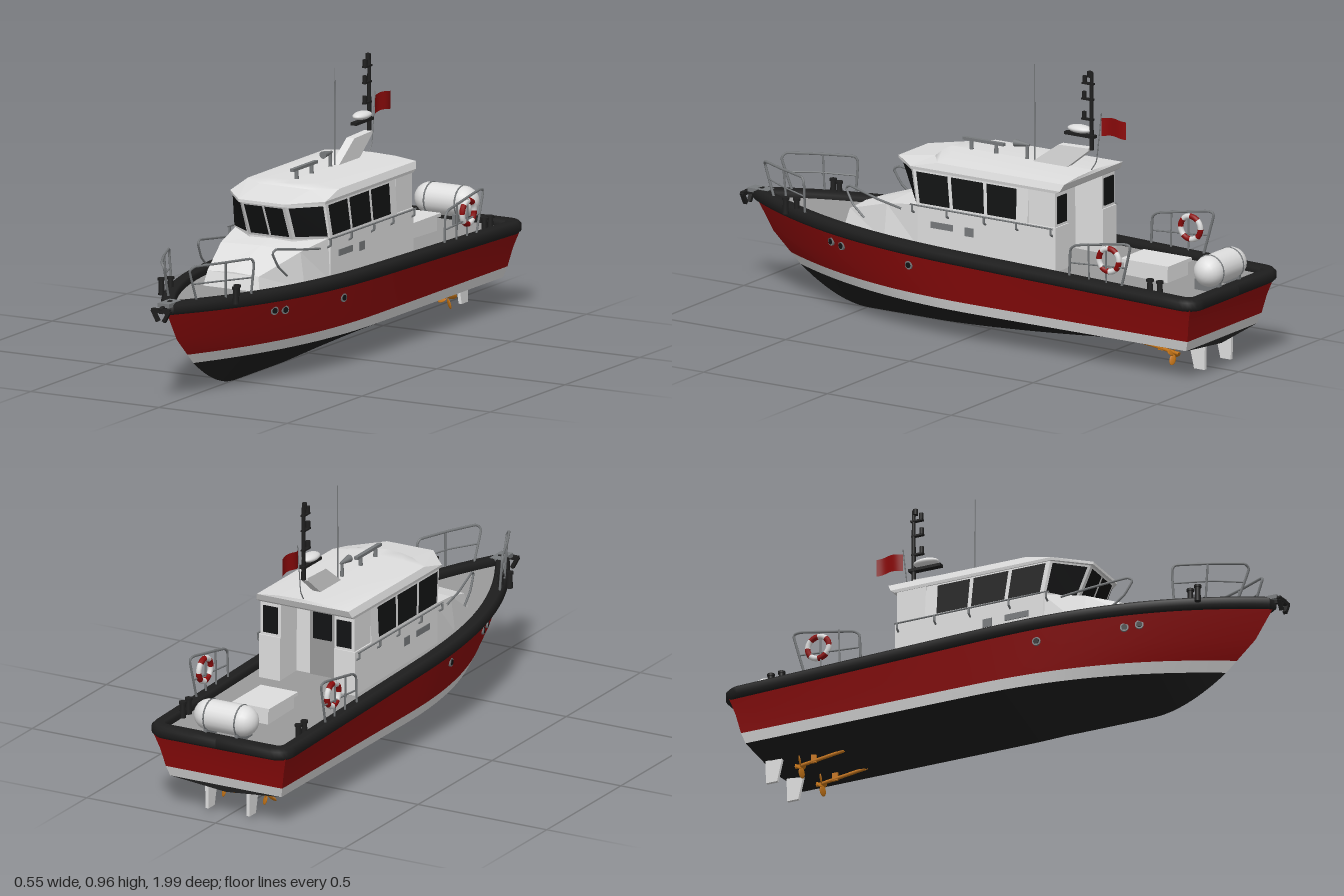
import * as THREE from 'three';

const mat = (name, color, side = THREE.FrontSide) => {
  const m = new THREE.MeshStandardMaterial({ color, side });
  m.name = name;
  return m;
};

export function createModel() {
  const red = mat('red paint', 0x8c0a0a, THREE.DoubleSide);
  const white = mat('white paint', 0xdedede, THREE.DoubleSide);
  const black = mat('black rubber', 0x1e1e1e, THREE.DoubleSide);
  const grey = mat('deck grey', 0x999999, THREE.DoubleSide);
  const glass = mat('dark glass', 0x121314, THREE.DoubleSide);
  const steel = mat('steel', 0x777a7c);
  const bronze = mat('bronze', 0xc47417);
  const boat = new THREE.Group();
  boat.name = 'patrolBoat';

  const add = (name, geo, m, x = 0, y = 0, z = 0) => {
    const mesh = new THREE.Mesh(geo, m);
    mesh.name = name;
    mesh.position.set(x, y, z);
    boat.add(mesh);
    return mesh;
  };
  const box = (name, m, w, h, d, x, y, z) => add(name, new THREE.BoxGeometry(w, h, d), m, x, y, z);
  const cyl = (name, m, r0, r1, h, x, y, z) => add(name, new THREE.CylinderGeometry(r0, r1, h, 16), m, x, y, z);
  const tube = (name, pts, r, m = steel) => {
    const c = new THREE.CatmullRomCurve3(pts.map(p => new THREE.Vector3(...p)), false, 'catmullrom', 0.15);
    return add(name, new THREE.TubeGeometry(c, pts.length * 8, r, 6), m);
  };
  // Skin between rows of points
  const loft = (rows, closed = false, flat = false) => {
    if (closed) rows = rows.map(r => [...r, r[0]]);
    const n = rows[0].length, idx = [];
    for (let r = 0; r < rows.length - 1; r++) for (let i = 0; i < n - 1; i++) {
      const a = r * n + i, b = a + n;
      idx.push(a, b, b + 1, a, b + 1, a + 1);
    }
    let g = new THREE.BufferGeometry();
    g.setAttribute('position', new THREE.Float32BufferAttribute(rows.flat(2), 3));
    g.setIndex(idx);
    if (flat) g = g.toNonIndexed();
    g.computeVertexNormals();
    return g;
  };
  const flip = ([x, y, z]) => [-x, y, z];
  const mirrorRows = rows => rows.map(r => r.map(flip).reverse());
  const bothSides = (name, rows, m) => {
    add(name + 'Left', loft(rows), m);
    add(name + 'Right', loft(mirrorRows(rows)), m);
  };

  // Hull lines: half breadth tapers from midships to the stem
  const breadth = (z, W, stem, p) => z < -0.1 ? W : W * (1 - Math.min(1, (z + 0.1) / (stem + 0.1)) ** p);
  const line = (stern, stem, W, p, yAt) => Array.from({ length: 45 }, (_, i) => {
    const z = stern + (stem - stern) * Math.sin(i / 44 * Math.PI / 2);
    return [breadth(z, W, stem, p), yAt(z), z];
  });
  const sheerY = z => 0.307 + 0.025 * z;
  const keelY = z => z > 0.5 ? 0.11 * ((z - 0.5) / 0.27) ** 1.8 : z < 0.2 ? 0.09 * ((0.2 - z) / 1.13) ** 1.5 : 0;
  const keel = line(-0.93, 0.77, 0, 2, keelY);
  const chine = line(-0.93, 0.77, 0.216, 2.2, () => 0.11);
  const stripe = line(-0.942, 0.81, 0.226, 2.3, () => 0.146);
  const knuckle = line(-0.955, 0.88, 0.24, 2.4, () => 0.21);
  const sheer = line(-0.973, 0.95, 0.258, 2.6, z => sheerY(z) - 0.012);
  const bands = [['bottom', [keel, chine], black], ['waterlineStripe', [chine, stripe], white],
    ['topsides', [stripe, knuckle, sheer], red]];
  for (const [name, rows, m] of bands) {
    bothSides(name, rows, m);
    add(name + 'Transom', loft(rows.map(r => [flip(r[0]), r[0]])), m);
  }

  // Deck
  const deckRows = [];
  for (let z = -0.97; z < 0.92; z += 0.03) {
    const w = breadth(z, 0.245, 0.93, 2.6);
    deckRows.push([[-w, sheerY(z) - 0.002, z], [w, sheerY(z) - 0.002, z]]);
  }
  add('deck', loft(deckRows), grey);

  // Rubber fender swept round the sheer
  const path = [[0, -0.975], [0.1, -0.975]];
  for (let i = 0; i <= 6; i++) {
    const a = i / 6 * Math.PI / 2;
    path.push([0.21 + 0.04 * Math.sin(a), -0.935 - 0.04 * Math.cos(a)]);
  }
  for (let i = 1; i <= 40; i++) {
    const z = -0.935 + 1.87 * Math.sin(i / 40 * Math.PI / 2);
    path.push([breadth(z, 0.25, 0.935, 2.6), z]);
  }
  const section = [[0.015, -0.021], [0.025, -0.011], [0.025, 0.011], [0.015, 0.021], [-0.018, 0.021],
    [-0.025, 0.013], [-0.025, -0.02], [0.015, -0.021]];
  const last = path.length - 1;
  bothSides('fender', section.map(([o, h]) => path.map(([x, z], i) => {
    const a = path[Math.max(0, i - 1)], b = path[Math.min(last, i + 1)];
    const t = new THREE.Vector2(b[0] - a[0], b[1] - a[1]).normalize();
    if (i === last) t.set(-1, 0);
    return [i === 0 || i === last ? 0 : Math.max(0, x + t.y * o), sheerY(z) + h, z - t.x * o];
  })), black);

  // Wheelhouse and roof rings
  const ring = (y, hw, zc, fx, zf, za) => [[hw, y, za], [hw, y, zc], [fx, y, zf], [-fx, y, zf], [-hw, y, zc], [-hw, y, za]];
  const low = ring(0.29, 0.187, 0.175, 0.085, 0.25, -0.27);
  const sill = ring(0.447, 0.187, 0.175, 0.085, 0.25, -0.27);
  const head = ring(0.572, 0.18, 0.198, 0.085, 0.305, -0.27);
  add('wheelhouse', loft([low, sill, head], true, true), white);
  const eave = ring(0.57, 0.184, 0.205, 0.09, 0.315, -0.385);
  const brow = ring(0.58, 0.186, 0.205, 0.09, 0.315, -0.40);
  const crown = ring(0.604, 0.178, 0.1, 0.1, 0.16, -0.412);
  const squash = (r, k, y) => r.map(p => [p[0] * k, y, p[2]]);
  add('roofEdge', loft([squash(eave, 0, 0.57), eave, brow, crown], true, true), white);
  add('roofTop', loft([crown, squash(crown, 0.55, 0.613), squash(crown, 0, 0.616)], true), white);

  // Windows laid on the wall panels
  const pane = (name, a, b, c, d, u0, u1) => {
    const V = p => new THREE.Vector3(...p);
    const at = (u, v) => V(a).lerp(V(b), u).lerp(V(d).lerp(V(c), u), v);
    const n = at(0, 1).sub(at(0, 0)).cross(at(1, 0).sub(at(0, 0))).normalize().multiplyScalar(0.003);
    const q = (u, v) => at(u, v).add(n).toArray();
    add(name, loft([[q(u0, 0.08), q(u1, 0.08)], [q(u0, 0.93), q(u1, 0.93)]]), glass);
  };
  const wall = (name, i, spans) => spans.forEach(([u0, u1]) => pane(name, sill[i], sill[i + 1], head[i + 1], head[i], u0, u1));
  const sideSpans = [[0.1, 0.36], [0.39, 0.67], [0.7, 0.97]];
  wall('sideWindow', 0, sideSpans);
  wall('cornerWindow', 1, [[0.06, 0.92]]);
  wall('frontWindow', 2, [[0.06, 0.475], [0.525, 0.94]]);
  wall('cornerWindow', 3, [[0.08, 0.94]]);
  wall('sideWindow', 4, sideSpans.map(([a, b]) => [1 - b, 1 - a]));

  // Aft door in the recess
  box('aftDoor', grey, 0.1, 0.25, 0.006, 0, 0.42, -0.272);
  box('aftDoorWindow', glass, 0.07, 0.1, 0.006, 0, 0.48, -0.276);

  // Forward trunk with sloping top
  const trunkHalf = (pts) => [...pts, ...pts.map(flip).reverse()];
  const trunkBase = trunkHalf([[0.187, 0.3, 0.17], [0.172, 0.3, 0.32], [0.11, 0.31, 0.52]]);
  const trunkTop = trunkHalf([[0.183, 0.45, 0.17], [0.155, 0.425, 0.32], [0.1, 0.368, 0.505]]);
  add('forwardTrunk', loft([trunkBase, trunkTop, trunkTop.map(p => [0, p[1] + 0.006, p[2]])], true, true), white);

  for (const s of [1, -1]) {
    const m = pts => pts.map(([x, y, z]) => [x * s, y, z]);
    // Wheelhouse wings
    box('aftWing', white, 0.082, 0.16, 0.115, s * 0.146, 0.37, -0.325);
    box('aftWingUpper', white, 0.078, 0.13, 0.11, s * 0.143, 0.51, -0.323);
    box('aftWingWindow', glass, 0.056, 0.095, 0.006, s * 0.143, 0.508, -0.379);
    // House side vents and grab rail
    box('sideVent', steel, 0.006, 0.022, 0.09, s * 0.187, 0.388, 0.075);
    box('smallVent', steel, 0.006, 0.03, 0.035, s * 0.187, 0.384, -0.035);
    tube('sideGrabRail', m([[0.197, 0.45, 0.2], [0.197, 0.448, -0.38]]), 0.003);
    for (const z of [0.19, 0.05, -0.1, -0.23, -0.37])
      tube('grabRailBracket', m([[0.185, 0.42, z], [0.197, 0.428, z], [0.197, 0.448, z]]), 0.004);
    // Trunk rail
    tube('trunkRail', m([[0.185, 0.425, 0.24], [0.175, 0.44, 0.34], [0.15, 0.462, 0.47], [0.145, 0.45, 0.49], [0.15, 0.4, 0.46], [0.155, 0.36, 0.41]]), 0.004);
    // Bow pulpit
    tube('bowRail', m([[0.055, 0.34, 0.84], [0.05, 0.45, 0.88], [0.065, 0.468, 0.87], [0.115, 0.468, 0.77],
      [0.16, 0.466, 0.66], [0.165, 0.445, 0.648], [0.155, 0.34, 0.65]]), 0.0045);
    tube('bowMidRail', m([[0.052, 0.405, 0.865], [0.11, 0.405, 0.77], [0.16, 0.4, 0.65]]), 0.003);
    tube('bowPost', m([[0.115, 0.34, 0.75], [0.12, 0.468, 0.76]]), 0.004);
    // Bollards
    for (const [x, z] of [[0.13, 0.7], [0.145, 0.735], [0.225, -0.79], [0.225, -0.83]]) {
      const y = sheerY(z);
      cyl('bollard', black, 0.009, 0.011, 0.055, s * x, y + 0.025, z);
      cyl('bollardCap', black, 0.013, 0.013, 0.008, s * x, y + 0.052, z);
    }
    // Stern quarter rail with lifebuoy
    tube('quarterRail', m([[0.25, 0.3, -0.48], [0.25, 0.405, -0.485], [0.25, 0.425, -0.51], [0.255, 0.458, -0.7],
      [0.255, 0.45, -0.73], [0.25, 0.3, -0.69]]), 0.0045);
    tube('quarterMidRail', m([[0.25, 0.36, -0.48], [0.253, 0.375, -0.71]]), 0.003);
    for (const z of [-0.56, -0.63]) tube('quarterPost', m([[0.25, 0.3, z], [0.253, 0.44, z]]), 0.0035);
    for (let i = 0; i < 8; i++) {
      const buoy = add('lifebuoySegment', new THREE.TorusGeometry(0.04, 0.01, 8, 6, Math.PI / 4), i % 2 ? red : white, s * 0.249, 0.392, -0.64);
      buoy.rotation.set(0, Math.PI / 2, i * Math.PI / 4);
    }
    // Hull ports
    for (const [z, y] of [[0.53, 0.265], [0.48, 0.26], [0.175, 0.25]]) {
      const k = (y - 0.21) / (sheerY(z) - 0.222);
      const x = THREE.MathUtils.lerp(breadth(z, 0.24, 0.88, 2.4), breadth(z, 0.258, 0.95, 2.6), k);
      const port = cyl('hullPort', steel, 0.015, 0.015, 0.008, s * x, y, z);
      const lens = cyl('hullPortGlass', glass, 0.01, 0.01, 0.012, s * x, y, z);
      port.rotation.set(0, s * -z * 0.8, Math.PI / 2);
      lens.rotation.copy(port.rotation);
    }
    // Rudder, shaft and propeller
    const rudder = new THREE.BoxGeometry(0.012, 0.11, 0.07);
    const rp = rudder.attributes.position;
    for (let i = 0; i < rp.count; i++) if (rp.getY(i) < 0) rp.setZ(i, rp.getZ(i) * 0.6 - 0.012);
    add('rudder', rudder, white, s * 0.08, 0.068, -0.885);
    tube('propellerShaft', m([[0.08, 0.078, -0.62], [0.08, 0.052, -0.81]]), 0.006, bronze);
    box('shaftStrut', bronze, 0.008, 0.05, 0.02, s * 0.08, 0.08, -0.74);
    for (let i = 0; i < 4; i++) {
      const blade = new THREE.SphereGeometry(1, 12, 8).scale(0.012, 0.019, 0.003);
      blade.rotateY(0.6).translate(0, 0.021, 0).rotateZ(i * Math.PI / 2 + 0.35);
      add('propellerBlade', blade, bronze, s * 0.08, 0.05, -0.79);
    }
    // Raft cradle and anchor fluke
    box('raftCradle', steel, 0.012, 0.04, 0.1, s * 0.06, 0.3, -0.915);
    const fluke = box('anchorFluke', black, 0.012, 0.045, 0.014, s * 0.022, 0.313, 0.985);
    fluke.rotation.z = s * -0.5;
  }

  // Anchor and bow roller
  box('bowRoller', steel, 0.045, 0.014, 0.08, 0, 0.345, 0.93);
  const shank = box('anchorShank', black, 0.014, 0.018, 0.075, 0, 0.338, 0.955);
  shank.rotation.x = 0.25;
  box('anchorStock', black, 0.07, 0.014, 0.014, 0, 0.33, 0.985);

  // Life raft canister
  const raft = add('lifeRaft', new THREE.CapsuleGeometry(0.054, 0.13, 6, 20), white, 0, 0.355, -0.925);
  raft.rotation.z = Math.PI / 2;
  for (const x of [-0.06, 0.06]) {
    const strap = add('raftStrap', new THREE.TorusGeometry(0.054, 0.003, 6, 24), steel, x, 0.355, -0.925);
    strap.rotation.y = Math.PI / 2;
  }

  // Deck hatch
  box('hatchCoaming', white, 0.125, 0.05, 0.175, 0, 0.31, -0.665);
  box('hatchLid', white, 0.145, 0.012, 0.195, 0, 0.341, -0.665);

  // Raked mast foot
  const foot = new THREE.Shape([[0.17, 0.61], [0.31, 0.61], [0.4, 0.682], [0.4, 0.692], [0.28, 0.688]].map(p => new THREE.Vector2(...p)));
  add('mastFoot', new THREE.ExtrudeGeometry(foot, { depth: 0.03, bevelEnabled: false }).rotateY(Math.PI / 2), white, -0.015, 0, 0);

  // Mast, radar and lights
  cyl('mast', black, 0.006, 0.008, 0.27, 0, 0.82, -0.405);
  box('radarPlatform', black, 0.022, 0.01, 0.12, 0, 0.732, -0.36);
  const dome = new THREE.SphereGeometry(1, 20, 12).scale(0.027, 0.014, 0.047);
  add('radarDome', dome, white, 0, 0.752, -0.358);
  for (const [y, z] of [[0.79, -0.39], [0.86, -0.39], [0.915, -0.392]]) {
    box('lightBracket', black, 0.014, 0.006, 0.045, 0, y, z);
    cyl('mastLight', black, 0.008, 0.008, 0.024, 0, y + 0.013, z + 0.015);
  }
  cyl('topLight', black, 0.009, 0.009, 0.02, 0, 0.948, -0.398);
  cyl('whipAntenna', steel, 0.0015, 0.003, 0.34, 0, 0.78, -0.175);

  // Flag and staff
  tube('flagStaff', [[0, 0.61, -0.4], [0, 0.65, -0.425], [0, 0.82, -0.445]], 0.002);
  const flag = new THREE.PlaneGeometry(0.1, 0.062, 12, 1);
  const fp = flag.attributes.position;
  for (let i = 0; i < fp.count; i++) {
    const w = fp.getX(i) * 60;
    fp.setZ(i, 0.005 * Math.sin(w));
    fp.setY(i, fp.getY(i) + 0.003 * Math.cos(w));
  }
  flag.computeVertexNormals();
  add('flag', flag.rotateY(Math.PI / 2), red, 0, 0.774, -0.495);

  // Roof scanner bar and horn
  box('scannerBar', steel, 0.014, 0.01, 0.165, 0, 0.65, 0.03);
  for (const z of [0.08, -0.02]) cyl('scannerFoot', steel, 0.006, 0.008, 0.035, 0, 0.63, z);
  const horn = cyl('horn', steel, 0.013, 0.004, 0.06, 0, 0.664, -0.125);
  horn.rotation.x = Math.PI / 2;
  cyl('hornFoot', steel, 0.005, 0.007, 0.05, 0, 0.638, -0.145);
  return boat;
}
